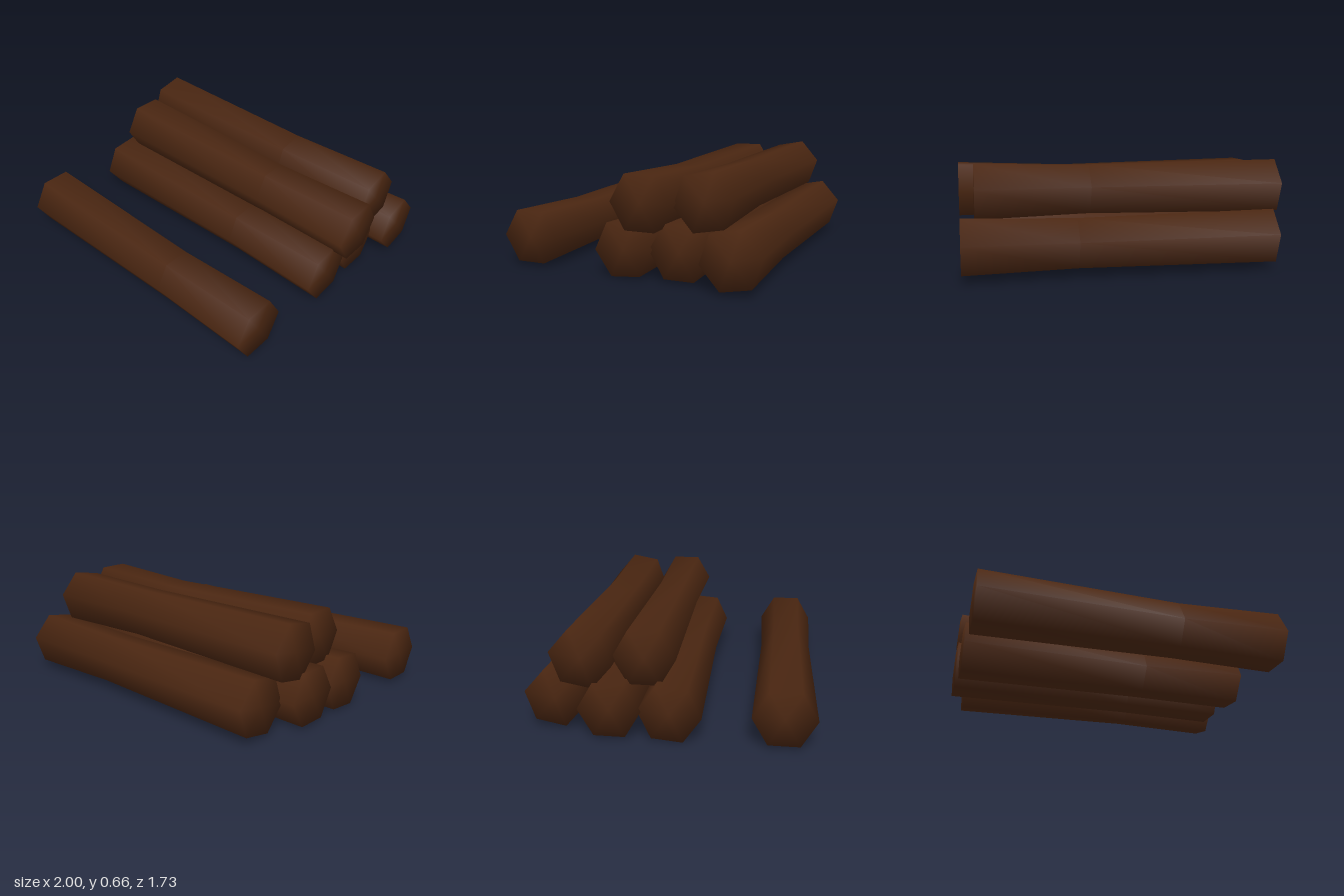
import * as THREE from 'three';
import { mergeVertices } from 'three/addons/utils/BufferGeometryUtils.js';

const END_RADIUS = 0.187;
const WAIST_RADIUS = 0.169;

// Six-sided log along x, slightly pinched and sagging at an off-centre waist.
function logGeometry(x0, x1, waistX, tilt, sagY, sagZ) {
  const length = x1 - x0;
  let g = new THREE.CylinderGeometry(END_RADIUS, END_RADIUS, length, 6, 2);
  g.rotateZ(-Math.PI / 2);
  g.rotateX(THREE.MathUtils.degToRad(tilt));
  g.translate((x0 + x1) / 2, 0, 0);

  const p = g.attributes.position;
  const k = WAIST_RADIUS / END_RADIUS;
  for (let i = 0; i < p.count; i++) {
    const isWaist = Math.abs(p.getX(i) - (x0 + x1) / 2) < length / 4;
    if (isWaist) p.setXYZ(i, waistX, p.getY(i) * k + sagY, p.getZ(i) * k + sagZ);
  }

  // Weld sides and end caps so the shading runs smoothly over the rims
  g.deleteAttribute('normal');
  g.deleteAttribute('uv');
  g = mergeVertices(g, 1e-4);
  g.computeVertexNormals();
  return g;
}

export function createModel() {
  const group = new THREE.Group();
  group.name = 'logPile';
  const bark = new THREE.MeshStandardMaterial({ color: 0x4a2611 });
  bark.name = 'dark brown bark';

  // name, y, z, x start, x end, waist x, tilt in degrees, waist shift y, z
  const logs = [
    ['looseLog', 0.185, 0.675, -1.0, 0.895, 0.22, 0, -0.008, 0],
    ['frontBottomLog', 0.171, 0.018, -0.99, 0.905, 0.22, 5, -0.008, -0.008],
    ['middleBottomLog', 0.182, -0.333, -1.0, 0.895, 0.22, 0, -0.008, 0],
    ['backBottomLog', 0.195, -0.68, -0.9, 0.995, 0.32, 11, -0.004, 0.01],
    ['frontTopLog', 0.473, -0.14, -0.9, 1.0, 0.32, 0, -0.009, -0.004],
    ['backTopLog', 0.486, -0.49, -0.985, 0.91, 0.22, 10.5, 0.003, 0.008],
  ];
  for (const [name, y, z, ...shape] of logs) {
    const log = new THREE.Mesh(logGeometry(...shape), bark);
    log.name = name;
    log.position.set(0, y, z);
    group.add(log);
  }
  return group;
}
